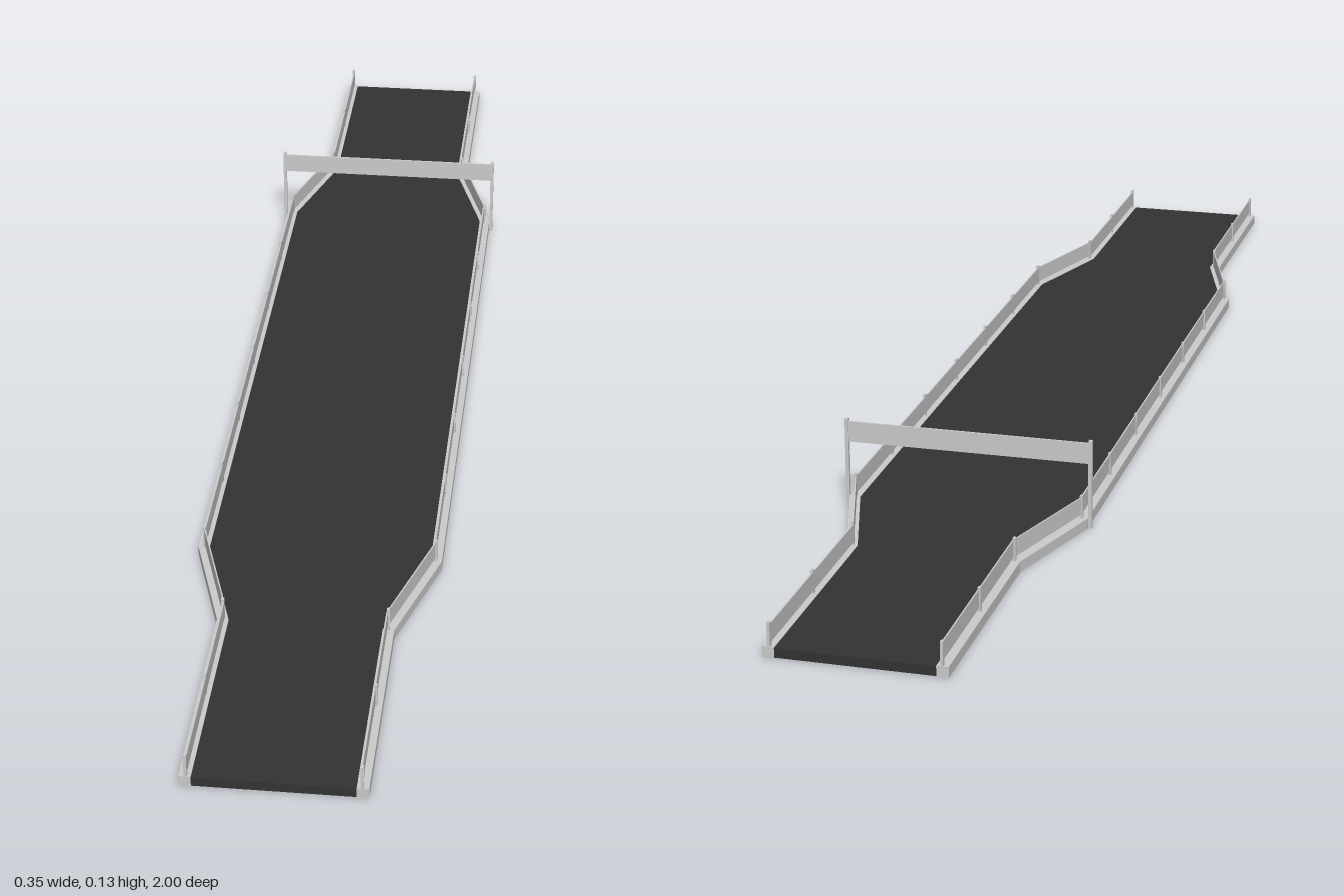
import * as THREE from 'three';

const grey = new THREE.MeshStandardMaterial({ color: 0xcccccc });
const dark = new THREE.MeshStandardMaterial({ color: 0x333333 });

// Half-width of the road plan at each bend, from back to front
const BENDS = [[0.105, -1], [0.105, -0.667], [0.156, -0.5], [0.156, 0.5], [0.105, 0.667], [0.105, 1]];

// Half-width of the road edge at any z
function edgeAt(z) {
  const t = THREE.MathUtils.clamp((Math.abs(z) - 0.5) / 0.167, 0, 1);
  return THREE.MathUtils.lerp(0.156, 0.105, t);
}

// Plan outline extruded upwards from y0 to y1
function slab(points, y0, y1) {
  const shape = new THREE.Shape(points.map(([x, z]) => new THREE.Vector2(x, -z)));
  const geo = new THREE.ExtrudeGeometry(shape, { depth: y1 - y0, bevelEnabled: false });
  return geo.rotateX(-Math.PI / 2).translate(0, y0, 0);
}

// Strip following the road edge on one side, between two outward offsets
function strip(side, inner, outer, y0, y1) {
  const line = (d) => BENDS.map(([x, z]) => [side * (x + d), z]);
  return slab([...line(inner), ...line(outer).reverse()], y0, y1);
}

export function createModel() {
  const model = new THREE.Group();
  const add = (name, geo, material = grey) => {
    const mesh = new THREE.Mesh(geo, material);
    mesh.name = name;
    model.add(mesh);
    return mesh;
  };
  const box = (name, w, h, d, x, y, z) =>
    add(name, new THREE.BoxGeometry(w, h, d)).position.set(x, y, z);

  // Road deck that widens in the middle
  const left = BENDS.map(([x, z]) => [x, z]);
  const right = BENDS.map(([x, z]) => [-x, z]).reverse();
  add('roadDeck', slab([...left, ...right], 0.001, 0.014), dark);

  for (const [side, label] of [[1, 'left'], [-1, 'right']]) {
    add(label + 'Kerb', strip(side, 0, 0.016, 0, 0.015));
    add(label + 'BarrierPanel', strip(side, 0.005, 0.007, 0.02, 0.045));

    // Barrier posts
    for (let i = -6; i <= 6; i++) {
      const z = (i / 6) * 0.997;
      box(label + 'BarrierPost', 0.004, 0.034, 0.006, side * (edgeAt(z) + 0.007), 0.031, z);
    }
    // Gantry post outside the kerb
    box(label + 'GantryPost', 0.005, 0.129, 0.006, side * 0.175, 0.0645, -0.497);
  }

  // Banner across the road
  box('gantryBanner', 0.346, 0.03, 0.003, 0, 0.11, -0.497);
  return model;
}
